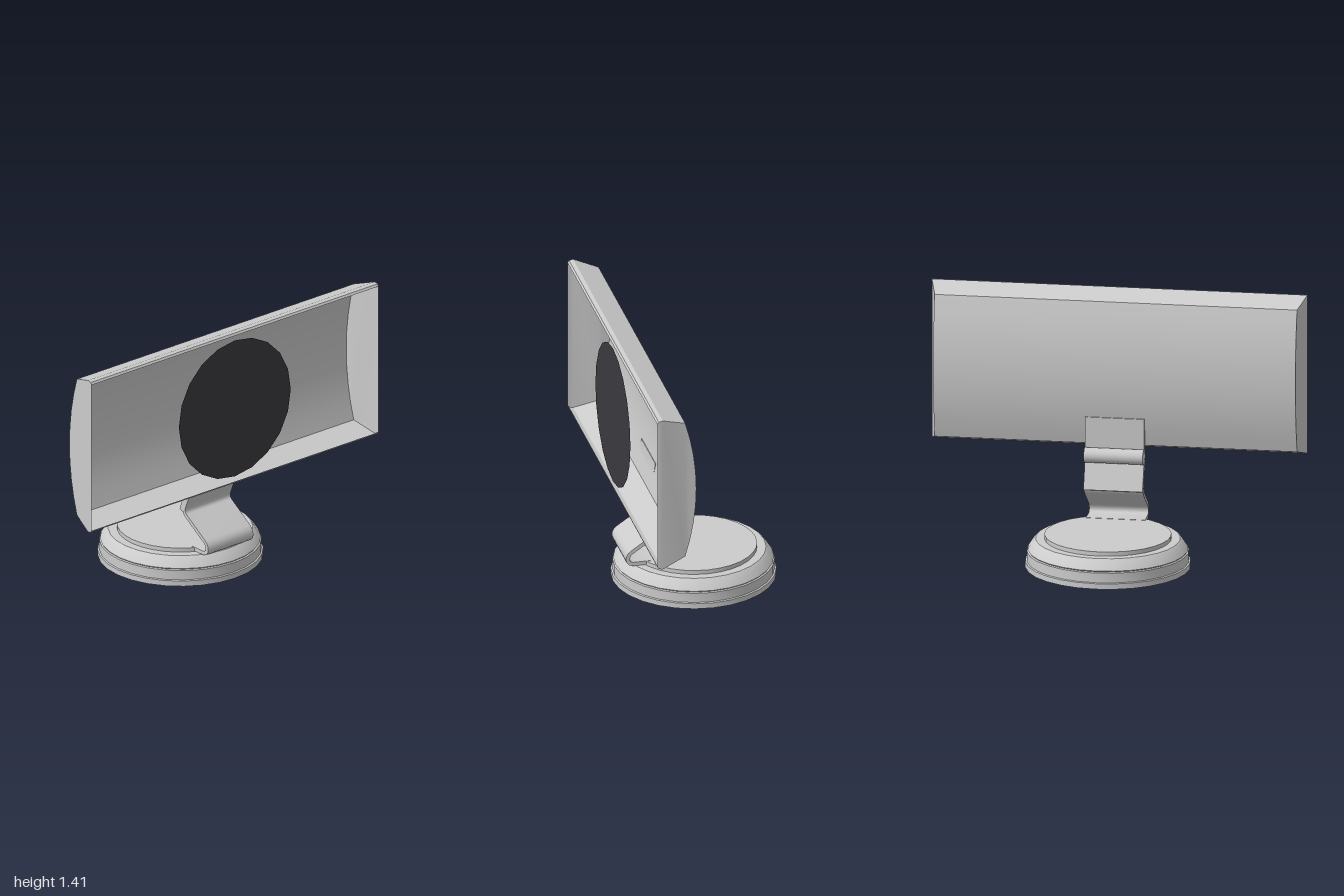
import * as THREE from 'three';
import { toCreasedNormals } from 'three/addons/utils/BufferGeometryUtils.js';

const grey = new THREE.MeshStandardMaterial({ color: 0xcccccc });
const greyThin = new THREE.MeshStandardMaterial({ color: 0xcccccc, side: THREE.DoubleSide });
const dark = new THREE.MeshStandardMaterial({ color: 0x3b3a40, side: THREE.DoubleSide });

function mesh(name, geometry, material = grey) {
  const m = new THREE.Mesh(geometry, material);
  m.name = name;
  return m;
}

// Side outline, points are (z, y), extruded across x and centred
function acrossX(points, width) {
  const g = new THREE.ExtrudeGeometry(new THREE.Shape(points), { depth: width, bevelEnabled: false });
  g.translate(0, 0, -width / 2).rotateY(-Math.PI / 2);
  return toCreasedNormals(g, 0.6);
}

// Outline of a bent sheet of even thickness following a path
function sheetOutline(path, thickness) {
  const pts = path.getPoints(6);
  const sides = [1, -1].map((s) => pts.map((p, i) => {
    const d = pts[Math.min(i + 1, pts.length - 1)].clone().sub(pts[Math.max(i - 1, 0)]).normalize();
    return new THREE.Vector2(p.x - d.y * s * thickness / 2, p.y + d.x * s * thickness / 2);
  }));
  return [...sides[0], ...sides[1].reverse()];
}

const v = (list) => list.map(([a, b]) => new THREE.Vector2(a, b));

// Open-fronted trough: bowed back, flared top, bottom and ends
function troughGeometry() {
  const mid = 0.975;
  const half = [[0.44, 0.418], [0.432, 0.43], [0.41, 0.435], [0.28, 0.39]];
  const profile = half.map(([z, h]) => [z, mid + h]);
  const R = 1.297, a = Math.asin(0.39 / R), n = 8;
  for (let i = 1; i < n; i++) {
    const t = a - (2 * a * i) / n;
    profile.push([0.22 + R - R * Math.cos(t), mid + R * Math.sin(t)]);
  }
  half.reverse().forEach(([z, h]) => profile.push([z, mid - h]));

  const endX = (z) => THREE.MathUtils.clamp(0.965 + 0.035 * (z - 0.28) / 0.13, 0.965, 1);
  const pos = [];
  const corner = (k, side) => [side * endX(profile[k][0]), profile[k][1], profile[k][0]];
  const quad = (p, q, r, s) => [p, q, r, p, r, s].forEach((c) => pos.push(...c));
  const last = profile.length - 1;
  for (let i = 0; i < last; i++) {
    quad(corner(i, -1), corner(i, 1), corner(i + 1, 1), corner(i + 1, -1));
  }
  // End walls join the upper and lower halves of the profile
  for (let i = 0; i < last / 2; i++) {
    const top = i, top2 = i + 1, low = last - i, low2 = last - i - 1;
    quad(corner(top, 1), corner(low, 1), corner(low2, 1), corner(top2, 1));
    quad(corner(top, -1), corner(top2, -1), corner(low2, -1), corner(low, -1));
  }
  const g = new THREE.BufferGeometry();
  g.setAttribute('position', new THREE.Float32BufferAttribute(pos, 3));
  return toCreasedNormals(g, 0.35);
}

export function createModel() {
  const model = new THREE.Group();
  model.name = 'panelOnStand';

  // Round stepped base
  const baseProfile = v([[0, 0], [0.437, 0], [0.437, 0.03], [0.428, 0.033], [0.428, 0.086], [0.42, 0.09],
    [0.424, 0.096], [0.392, 0.145], [0.382, 0.152], [0.33, 0.152], [0, 0.152]]);
  model.add(mesh('base', toCreasedNormals(new THREE.LatheGeometry(baseProfile, 28), 0.5)));

  // Disc on top of the base
  const plate = new THREE.CylinderGeometry(0.335, 0.335, 0.023, 32);
  plate.translate(0, 0.1635, 0);
  model.add(mesh('basePlate', plate));

  // Bent sheet rising from the base
  const width = 0.315;
  const path = new THREE.Path();
  path.moveTo(0.277, 0.537);
  path.lineTo(0.216, 0.392);
  path.quadraticCurveTo(0.198, 0.352, 0.226, 0.333);
  path.lineTo(0.372, 0.235);
  path.bezierCurveTo(0.405, 0.213, 0.402, 0.167, 0.365, 0.166);
  path.lineTo(0.27, 0.166);
  model.add(mesh('standNeck', acrossX(sheetOutline(path, 0.021), width)));

  // Hinge: clip behind the neck, barrel and back plate
  const hinge = new THREE.Group();
  hinge.name = 'hinge';
  hinge.add(mesh('hingeClip', acrossX(v([[0.257, 0.49], [0.197, 0.35], [0.175, 0.358], [0.228, 0.5],
    [0.22, 0.53], [0.245, 0.53]]), width)));
  const barrel = new THREE.CylinderGeometry(0.04, 0.04, width, 20);
  barrel.rotateZ(Math.PI / 2).translate(0, 0.537, 0.22);
  hinge.add(mesh('hingeBarrel', barrel));
  hinge.add(mesh('backPlate', acrossX(v([[0.235, 0.74], [0.246, 0.74], [0.254, 0.68], [0.264, 0.63],
    [0.258, 0.55], [0.235, 0.54]]), width)));
  model.add(hinge);

  // Trough and dark front disc
  model.add(mesh('trough', troughGeometry(), greyThin));
  const disc = new THREE.CircleGeometry(0.39, 20);
  disc.translate(0, 0.975, 0.437);
  model.add(mesh('frontDisc', disc, dark));

  return model;
}
